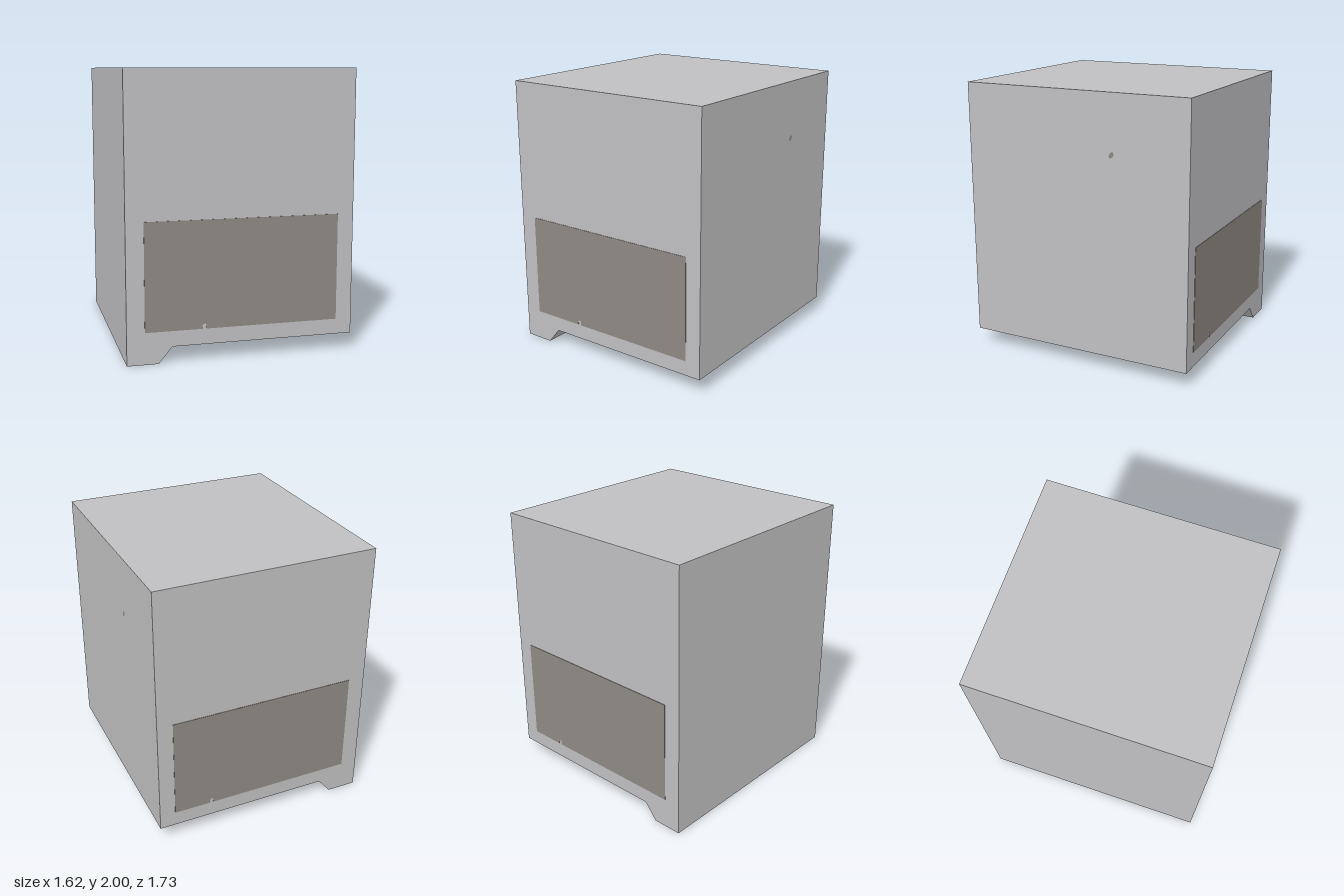
import * as THREE from 'three';

const W = 0.81, D = 0.86;

function shapeOf(points) {
  return new THREE.Shape(points.map(([x, y]) => new THREE.Vector2(x, y)));
}

export function createModel() {
  const group = new THREE.Group();
  const bodyGrey = new THREE.MeshStandardMaterial({ color: 0xc0c0c2 });
  bodyGrey.name = 'bodyGrey';
  const panelBrown = new THREE.MeshStandardMaterial({ color: 0x8e8984 });
  panelBrown.name = 'panelBrown';

  function add(name, geometry, material) {
    const mesh = new THREE.Mesh(geometry, material);
    mesh.name = name;
    group.add(mesh);
    return mesh;
  }

  // Block with a sloped foot rail along the -x edge
  const profile = shapeOf([
    [-W, 0], [-0.59, 0], [-0.495, 0.115], [W, 0.115], [W, 2], [-W, 2],
  ]);
  const body = new THREE.ExtrudeGeometry(profile, { depth: 2 * D, bevelEnabled: false });
  body.translate(0, 0, -D);
  add('body', body, bodyGrey);

  // Thin panel with a small stepped notch in its lower edge
  function panel(name, x0, x1, notchX, back) {
    const y0 = 0.225, y1 = 0.985;
    const shape = shapeOf([
      [x0, y0], [notchX - 0.01, y0], [notchX - 0.015, 0.25], [notchX - 0.006, 0.26],
      [notchX + 0.006, 0.26], [notchX + 0.015, 0.25], [notchX + 0.01, y0],
      [x1, y0], [x1, y1], [x0, y1],
    ]);
    const mesh = add(name, new THREE.ExtrudeGeometry(shape, { depth: 0.003, bevelEnabled: false }), panelBrown);
    mesh.position.z = back ? -D : D;
    if (back) mesh.rotation.y = Math.PI;
  }
  panel('frontPanel', -0.685, 0.695, -0.27, false);
  panel('backPanel', -0.695, 0.685, -0.41, true);

  // Small slanted fleck on the +x side
  const fleck = add('sideFleck', new THREE.CircleGeometry(0.018, 8), panelBrown);
  fleck.geometry.scale(0.9, 1.4, 1).rotateZ(-0.6).rotateY(Math.PI / 2);
  fleck.position.set(W + 0.002, 1.58, -0.29);

  return group;
}
